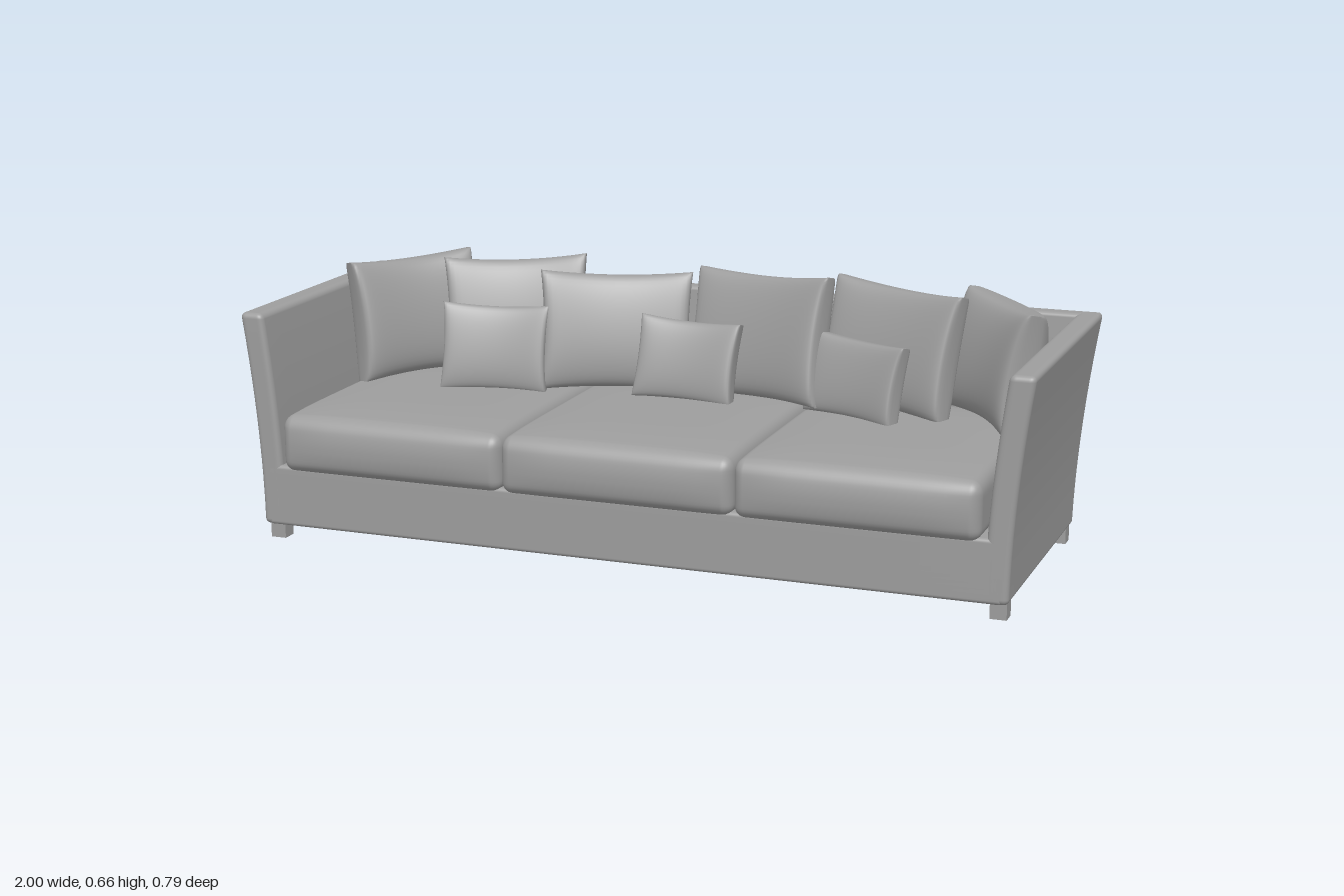
import * as THREE from 'three';
import { mergeVertices } from 'three/addons/utils/BufferGeometryUtils.js';

const material = new THREE.MeshStandardMaterial({ color: 0x9d9d9d });

// Moves every vertex of a subdivided 2-unit cube by a rule, with smooth normals across seams
function shapedBox(nx, ny, nz, rule) {
  let geo = new THREE.BoxGeometry(2, 2, 2, nx, ny, nz);
  geo.deleteAttribute('uv');
  geo.deleteAttribute('normal');
  geo = mergeVertices(geo);
  const pos = geo.attributes.position;
  const p = new THREE.Vector3();
  for (let i = 0; i < pos.count; i++) {
    p.fromBufferAttribute(pos, i);
    rule(p);
    pos.setXYZ(i, p.x, p.y, p.z);
  }
  geo.computeVertexNormals();
  return geo;
}

// Rounded box between two corners; grid lines gather in the rounded edges, then warp is applied
function softBox(min, max, radius, warp) {
  const n = 18, k = 4;
  const lo = new THREE.Vector3(...min), hi = new THREE.Vector3(...max);
  const innerLo = lo.clone().addScalar(radius), innerHi = hi.clone().subScalar(radius);
  const place = (t, a, b) => {
    const i = Math.round((t + 1) / 2 * n);
    if (i <= k) return a + radius * i / k;
    if (i >= n - k) return b - radius * (n - i) / k;
    return a + radius + (b - a - 2 * radius) * (i - k) / (n - 2 * k);
  };
  const core = new THREE.Vector3();
  return shapedBox(n, n, n, p => {
    p.set(place(p.x, lo.x, hi.x), place(p.y, lo.y, hi.y), place(p.z, lo.z, hi.z));
    core.copy(p).clamp(innerLo, innerHi);
    p.sub(core).setLength(radius).add(core);
    warp(p);
  });
}

// Frame sides flare outwards and the back rakes rearwards with height
function flare(p) {
  const s = Math.max(0, (p.y - 0.04) / 0.535);
  p.x *= 1 + 0.05 * Math.pow(s, 1.8);
  if (p.z < 0) p.z -= 0.048 * s * Math.min(1, -p.z / 0.345);
}

// Stuffed pillow: plump up to blunt edges, pulled-out corners, sides curling forwards
function pillowGeometry(w, h, t) {
  return shapedBox(24, 24, 2, p => {
    const u = Math.sin(p.x * Math.PI / 2), v = Math.sin(p.y * Math.PI / 2);
    const puff = Math.pow(Math.max(0, (1 - u * u) * (1 - v * v)), 0.3);
    const curl = 0.25 * t * (u * u - 0.4);
    p.set(
      u * w / 2 * (1 - 0.05 * (1 - v * v)),
      v * h / 2 * (1 - 0.06 * (1 - u * u)),
      p.z * (0.012 + (t / 2 - 0.012) * puff * (1 - 0.12 * v)) + curl
    );
  });
}

export function createModel() {
  const sofa = new THREE.Group();
  sofa.name = 'sofa';
  const add = (name, geo) => {
    const mesh = new THREE.Mesh(geo, material);
    mesh.name = name;
    sofa.add(mesh);
    return mesh;
  };

  // Frame
  add('base', softBox([-0.938, 0.04, -0.343], [0.938, 0.195, 0.364], 0.01, flare));
  add('backrest', softBox([-0.95, 0.04, -0.345], [0.95, 0.577, -0.302], 0.01, flare));
  add('leftArm', softBox([0.893, 0.04, -0.345], [0.952, 0.577, 0.364], 0.014, flare));
  add('rightArm', softBox([-0.952, 0.04, -0.345], [-0.893, 0.577, 0.364], 0.014, flare));

  // Feet
  for (const x of [-0.925, 0.925]) {
    for (const z of [-0.315, 0.321]) {
      add('foot', new THREE.BoxGeometry(0.04, 0.045, 0.04)).position.set(x, 0.0225, z);
    }
  }

  // Seat cushions with a crowned top and a bulging front
  for (const x of [-0.592, -0.002, 0.59]) {
    const half = 0.295;
    const geo = softBox([-half, 0.184, -0.3], [half, 0.322, 0.378], 0.028, p => {
      const u = Math.min(1, Math.abs(p.x) / half);
      const w = Math.min(1, Math.abs(p.z - 0.04) / 0.34);
      const v = Math.min(1, Math.abs(p.y - 0.253) / 0.069);
      if (p.y > 0.25) p.y += 0.02 * Math.sqrt((1 - u ** 4) * (1 - w ** 4));
      if (p.z > 0.3) p.z += 0.016 * (1 - v * v) * (1 - u ** 6);
    });
    add('seatCushion', geo).position.x = x;
  }

  // Pillows: name, x, z, turn, lean, roll, width, height, thickness
  const pillows = [
    ['cornerPillow', -0.79, -0.17, 0.92, 0.16, 0.02, 0.35, 0.315, 0.15],
    ['backPillow', -0.50, -0.205, 0.35, 0.22, 0.03, 0.37, 0.325, 0.13],
    ['backPillow', -0.22, -0.195, 0.38, 0.20, -0.02, 0.39, 0.305, 0.13],
    ['backPillow', 0.175, -0.215, -0.36, 0.22, 0.05, 0.41, 0.325, 0.13],
    ['backPillow', 0.52, -0.215, -0.40, 0.22, -0.02, 0.39, 0.315, 0.13],
    ['cornerPillow', 0.795, -0.18, -0.90, 0.16, -0.02, 0.35, 0.305, 0.15],
    ['smallPillow', -0.50, -0.065, 0.24, 0.22, -0.02, 0.275, 0.225, 0.085],
    ['smallPillow', 0.005, -0.125, 0.0, 0.26, -0.04, 0.265, 0.21, 0.085],
    ['smallPillow', 0.46, -0.095, -0.40, 0.22, -0.02, 0.275, 0.2, 0.085],
  ];
  for (const [name, x, z, turn, lean, roll, w, h, t] of pillows) {
    const pillow = add(name, pillowGeometry(w, h, t));
    pillow.position.set(x, 0.326 + h / 2, z);
    pillow.rotation.set(-lean, turn, roll, 'YXZ');
  }

  return sofa;
}
